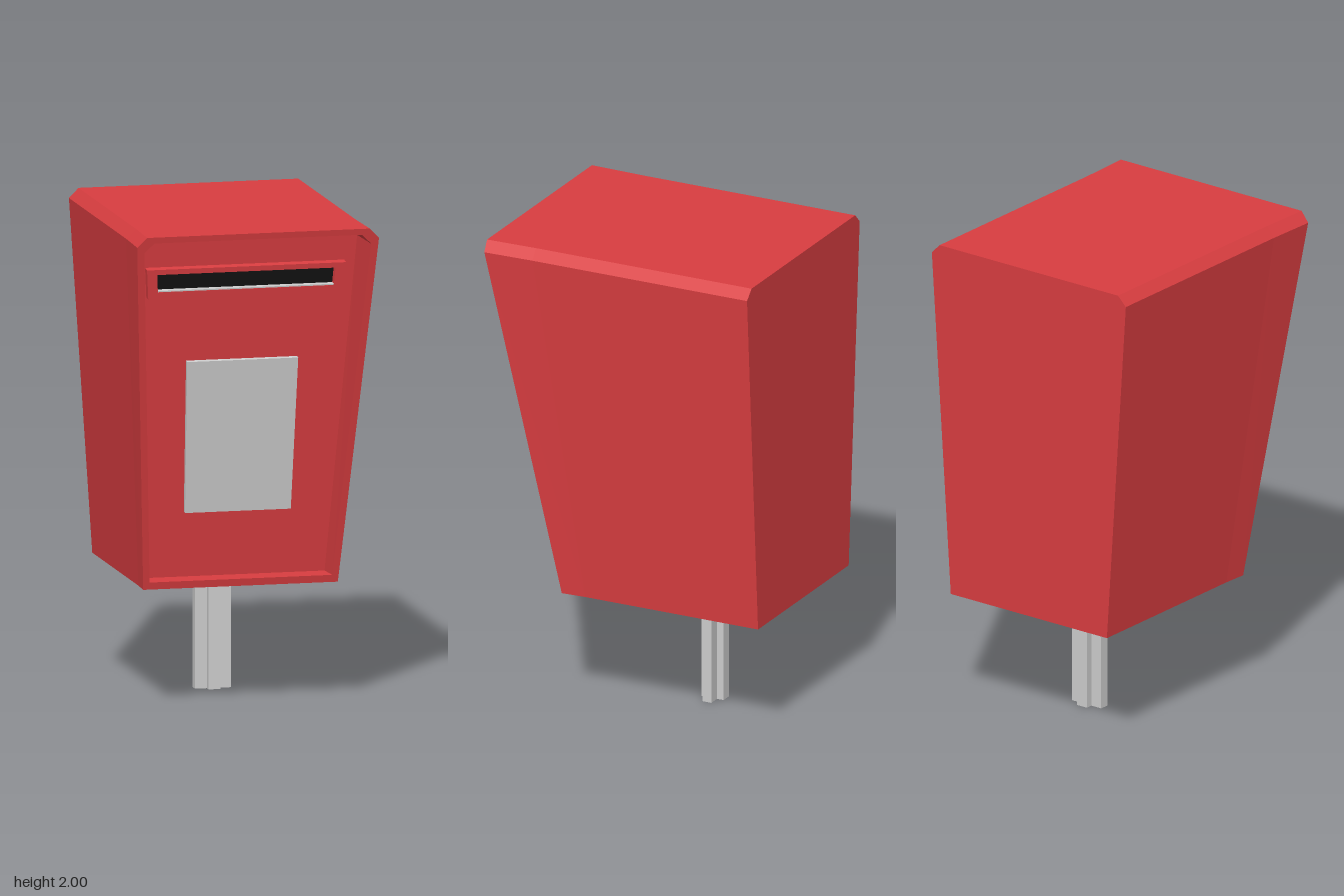
import * as THREE from 'three';

const red = new THREE.MeshStandardMaterial({ color: 0xd83d40, flatShading: true });
const grey = new THREE.MeshStandardMaterial({ color: 0xcccccc, flatShading: true });
const black = new THREE.MeshStandardMaterial({ color: 0x111111, flatShading: true });

// Slanted planes: z as a function of height
const frontZ = (y) => 0.29 + (y - 0.5) * 0.2067;
const panelZ = (d) => (y) => 0.19 + (y - 0.53) * 0.13 + d;

// Chamfered, tapered outline, counter-clockwise as seen from the front
function outline(bottomW, topW, y0, y1, chamfer, zAt) {
  return [
    [-bottomW, y0], [bottomW, y0],
    [topW, y1 - chamfer], [topW - chamfer, y1],
    [-topW + chamfer, y1], [-topW, y1 - chamfer],
  ].map(([x, y]) => new THREE.Vector3(x, y, zAt(y)));
}

// Four-cornered tapered outline
function quad(bottomW, topW, y0, y1, zAt) {
  return [[-bottomW, y0], [bottomW, y0], [topW, y1], [-topW, y1]]
    .map(([x, y]) => new THREE.Vector3(x, y, zAt(y)));
}

// Skin a sequence of outlines, optionally closing the first and last
function loft(rings, capStart, capEnd) {
  const pts = [];
  const n = rings[0].length;
  for (let r = 0; r < rings.length - 1; r++) {
    const a = rings[r], b = rings[r + 1];
    for (let i = 0; i < n; i++) {
      const j = (i + 1) % n;
      pts.push(a[i], a[j], b[j], a[i], b[j], b[i]);
    }
  }
  const first = rings[0], last = rings[rings.length - 1];
  for (let i = 1; i < n - 1; i++) {
    if (capStart) pts.push(first[0], first[i + 1], first[i]);
    if (capEnd) pts.push(last[0], last[i], last[i + 1]);
  }
  const g = new THREE.BufferGeometry().setFromPoints(pts);
  g.computeVertexNormals();
  return g;
}

export function createModel() {
  const model = new THREE.Group();
  model.name = 'letterBox';
  const add = (name, geometry, material) => {
    const mesh = new THREE.Mesh(geometry, material);
    mesh.name = name;
    model.add(mesh);
    return mesh;
  };

  // Tapered housing with a rim around the recessed front panel
  add('housing', loft([
    outline(0.4, 0.497, 0.5, 2, 0.04, () => -0.6),
    outline(0.4, 0.497, 0.5, 2, 0.04, panelZ(0)),
    outline(0.405, 0.503, 0.5, 2, 0.04, frontZ),
    outline(0.38, 0.472, 0.53, 1.975, 0.04, frontZ),
    outline(0.374, 0.465, 0.53, 1.975, 0.04, panelZ(0)),
  ], true, true), red);

  // Raised surround of the posting slot
  add('slotFrame', loft([
    quad(0.405, 0.414, 1.71, 1.834, panelZ(0)),
    quad(0.405, 0.414, 1.706, 1.829, panelZ(0.035)),
    quad(0.366, 0.371, 1.735, 1.808, panelZ(0.035)),
    quad(0.366, 0.371, 1.739, 1.812, panelZ(0.004)),
  ], false, false), red);
  add('slotOpening', loft([
    quad(0.366, 0.371, 1.739, 1.812, panelZ(0.004)),
  ], false, true), black);

  // Thin metal lip along the bottom of the slot
  add('slotLip', loft([
    quad(0.366, 0.366, 1.735, 1.742, panelZ(0.004)),
    quad(0.366, 0.366, 1.733, 1.74, panelZ(0.033)),
  ], false, true), grey);

  // Notice plate on the panel
  add('noticePlate', loft([
    quad(0.22, 0.231, 0.803, 1.437, panelZ(0)),
    quad(0.22, 0.231, 0.8, 1.434, panelZ(0.021)),
  ], false, true), grey);

  // Cross-section post
  const post = new THREE.Shape();
  const corner = [[0.075, 0.02], [0.025, 0.02], [0.025, 0.05]];
  const mirror = (sx, sy) => corner.map(([x, y]) => new THREE.Vector2(x * sx, y * sy));
  post.setFromPoints([
    ...mirror(1, 1), ...mirror(-1, 1).reverse(),
    ...mirror(-1, -1), ...mirror(1, -1).reverse(),
  ]);
  const postGeometry = new THREE.ExtrudeGeometry(post, { depth: 0.5, bevelEnabled: false });
  postGeometry.rotateX(-Math.PI / 2);
  add('post', postGeometry, grey).position.z = -0.2;

  return model;
}
